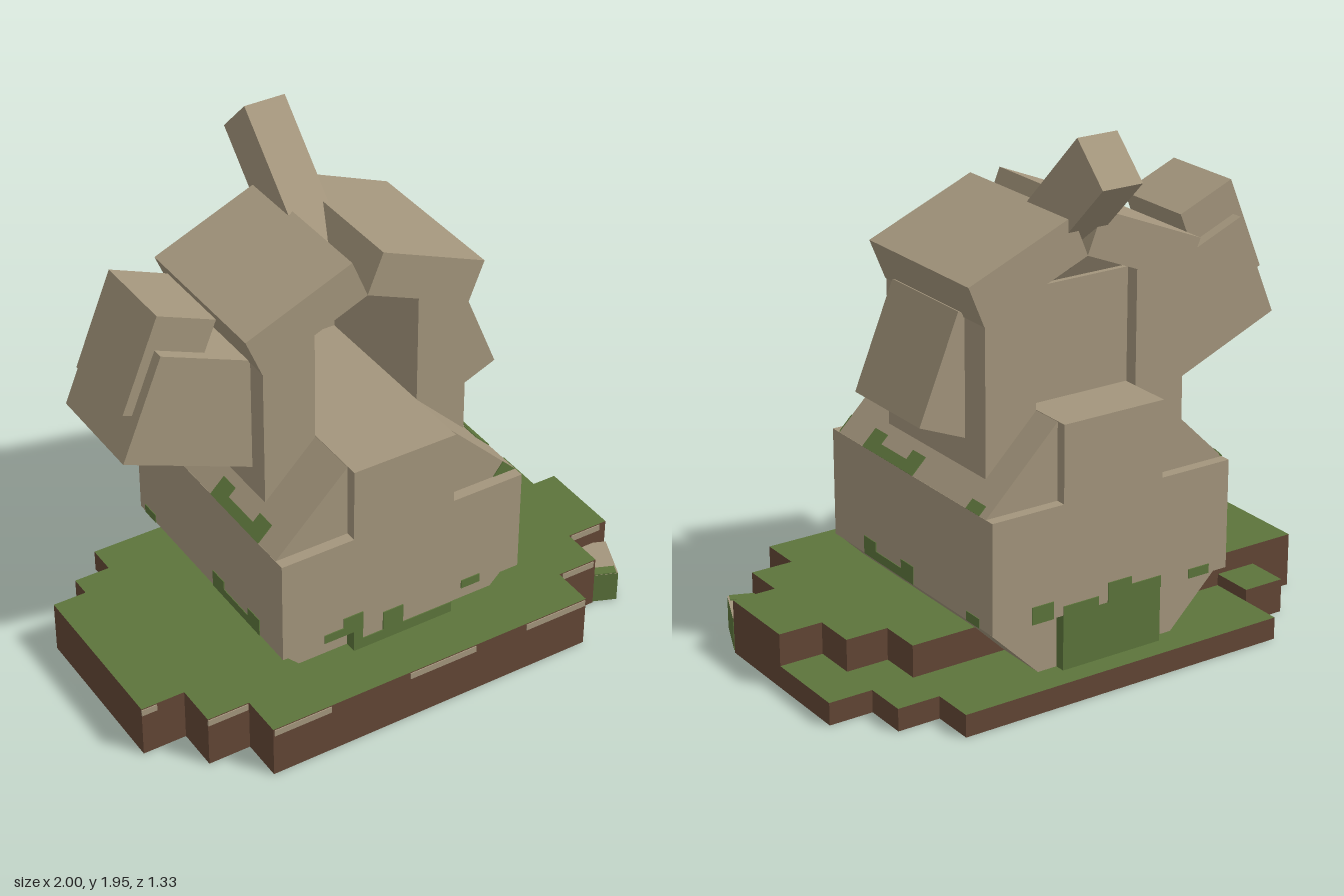
import * as THREE from 'three';

const mat = (name, color, side = THREE.FrontSide) => {
  const m = new THREE.MeshStandardMaterial({ color, side });
  m.name = name;
  return m;
};

export function createModel() {
  const stone = mat('stone', 0xa3957c);
  const moss = mat('moss', 0x5c743b, THREE.DoubleSide);
  const earth = mat('earth', 0x624635, THREE.DoubleSide);
  const root = new THREE.Group();
  root.name = 'stoneShrine';
  const TILT = Math.PI / 8;

  const add = (name, geo, material, parent = root) => {
    const m = new THREE.Mesh(geo, material);
    m.name = name;
    parent.add(m);
    return m;
  };
  // Box given by its limits on each axis
  const box = (name, x0, x1, y0, y1, z0, z1, material = stone) => {
    const m = add(name, new THREE.BoxGeometry(x1 - x0, y1 - y0, z1 - z0), material);
    m.position.set((x0 + x1) / 2, (y0 + y1) / 2, (z0 + z1) / 2);
    return m;
  };
  // Box leaning in the front plane
  const tilted = (name, size, pos, angle) => {
    const m = add(name, new THREE.BoxGeometry(...size), stone);
    m.position.set(...pos);
    m.rotation.z = angle;
    return m;
  };
  // Front-plane outline pushed through a range of z
  const prism = (name, pts, z0, z1) => {
    const shape = new THREE.Shape(pts.map(p => new THREE.Vector2(...p)));
    const geo = new THREE.ExtrudeGeometry(shape, { depth: z1 - z0, bevelEnabled: false });
    return add(name, geo.translate(0, 0, z0), stone);
  };

  // Island: hollow terraces, each a grass cap with earth walls.
  // Points are [x, z, bottom of the wall that starts here]; no third value means no wall.
  const terrace = (name, top, pts) => {
    const g = new THREE.Group();
    g.name = name;
    root.add(g);
    const shape = new THREE.Shape(pts.map(([x, z]) => new THREE.Vector2(x, -z)));
    add('grass', new THREE.ShapeGeometry(shape).rotateX(-Math.PI / 2).translate(0, top, 0), moss, g);
    pts.forEach(([x, z, bottom], i) => {
      if (bottom === undefined) return;
      const [nx, nz] = pts[(i + 1) % pts.length];
      const wall = add('earthWall', new THREE.PlaneGeometry(Math.hypot(nx - x, nz - z), top - bottom), earth, g);
      wall.position.set((x + nx) / 2, (top + bottom) / 2, (z + nz) / 2);
      wall.rotation.y = Math.atan2(-(nz - z), nx - x);
    });
  };
  const a = 1, b = 0.83, c = 0.665, d = 0.5, e = 0.333, f = 0.167, L = 0.085;
  terrace('upperTerrace', 0.207, [
    [-a, e, 0], [-b, e, 0], [-b, d, 0], [-c, d, 0], [-c, c, 0], [c, c, 0], [c, d, 0], [b, d, 0],
    [b, e, 0], [a, e, 0], [a, 0, L], [b, 0, L], [b, -f, L], [c, -f, L], [c, -e, L],
    [-c, -e, 0.13], [-b, -e, 0], [-a, -e, 0]]);
  terrace('middleStep', 0.13, [[-b, -e], [-c, -e, L], [-c, -d, 0], [-b, -d, 0]]);
  terrace('lowerTerrace', L, [
    [a, 0, 0], [a, -e, 0], [b, -e, 0], [b, -d, 0], [c, -d, 0], [c, -c, 0], [-c, -c, 0],
    [-c, -d], [-c, -e], [c, -e], [c, -f], [b, -f], [b, 0]]);

  // Pale stones showing under the turf along the front
  [[-1, -0.94, e], [-0.83, -0.67, d], [-0.66, -0.43, c], [-0.1, 0.18, c], [0.4, 0.66, c],
    [0.68, 0.82, d], [0.84, 0.97, e]].forEach(([x0, x1, z]) =>
    box('turfStone', x0, x1, 0.178, 0.203, z - 0.003, z + 0.004));

  // Main body: bevelled core, wide middle band and narrow end ribs
  prism('bodyCore', [[-0.205, 0.005], [0.205, 0.005], [0.499, 0.295], [0.499, 0.71], [0.207, 0.999],
    [-0.207, 0.999], [-0.499, 0.71], [-0.499, 0.295]], -0.54, 0.415);
  box('bodyBand', -0.5, 0.5, 0.295, 0.71, -0.58, 0.458);
  box('bodyRidge', -0.208, 0.208, 0.71, 1.0, -0.58, 0.458);
  box('bodyFoot', -0.208, 0.208, 0, 0.295, -0.58, 0.458, [moss, moss, stone, moss, stone, moss]);

  // Moss on the front and back of the body
  const mossRects = [[-0.33, -0.25, 0.295, 0.33], [-0.25, -0.17, 0.295, 0.372], [-0.208, -0.17, 0.2, 0.3],
    [-0.17, 0.208, 0.2, 0.25], [-0.085, 0, 0.25, 0.33], [0.25, 0.33, 0.295, 0.33]];
  mossRects.forEach(r => box('frontMoss', ...r, 0.456, 0.462, moss));
  [[-0.42, -0.33, 0.295, 0.33], [-0.208, -0.08, 0.295, 0.34], [-0.08, 0.02, 0.295, 0.37],
    [0.06, 0.208, 0.295, 0.33], [0.25, 0.34, 0.295, 0.36]].forEach(r =>
    box('backMoss', ...r, -0.584, -0.578, moss));

  // Moss along the foot of the sides and of the shoulder slopes: [z0, z1, height]
  for (const s of [1, -1]) {
    const shift = s > 0 ? 0 : 0.05;
    [[0.17, 0.25, 0.07], [0, 0.17, 0.035], [-0.08, 0, 0.07], [-0.5, -0.42, 0.035]].forEach(([z0, z1, h]) => {
      const za = z0 + shift * (z0 < -0.3 ? -0.8 : 1), zb = z1 + shift * (z0 < -0.3 ? -0.8 : 1);
      box('sideMoss', s * 0.5 - 0.003, s * 0.5 + 0.003, 0.295, 0.295 + h, za, zb, moss);
      const w = h * 1.15;
      const p = box('slopeMoss', 0, w, 0, 0.006, za, zb, moss);
      p.position.x = s * (0.5 - w * 0.355);
      p.position.y = 0.71 + w * 0.35;
      p.rotation.z = -s * 0.781;
    });
  }
  prism('cornerMoss', [[0.405, 0.712], [0.497, 0.712], [0.445, 0.764]], 0.413, 0.419).material = moss;

  // Upper house: two walls, a split roof and a recessed rear panel
  for (const s of [1, -1]) {
    prism('houseWall', [[0.21, 0.78], [0.415, 0.78], [0.415, 1.345], [0.21, 1.43]].map(([x, y]) => [s * x, y]),
      -0.413, 0.207);
    tilted('roofSlab', [0.453, 0.163, 0.624], [s * 0.24, 1.5, -0.103], -s * TILT);
  }
  box('rearPanel', -0.21, 0.21, 0.98, 1.42, -0.36, -0.34);

  // Leaning chimney block
  const chimney = add('chimney', new THREE.BoxGeometry(0.163, 0.58, 0.207), stone);
  chimney.position.set(0, 1.667, -0.33);
  chimney.rotation.x = -Math.PI / 4;

  // Blocks jutting from the walls
  tilted('shortSideBlock', [0.22, 0.415, 0.417], [0.417, 1.128, -0.08], TILT);
  tilted('longSideBlock', [0.57, 0.415, 0.417], [-0.57, 1.184, -0.085], -TILT);
  tilted('longSideCap', [0.24, 0.376, 0.333], [-0.701, 1.396, -0.085], -TILT);

  // Loose mossy rock by the front corner
  const rock = box('looseRock', 0.77, 0.963, 0, 0.125, 0.308, 0.501, [moss, moss, stone, moss, moss, moss]);
  rock.rotation.y = -TILT;
  const patch = add('rockMoss', new THREE.BoxGeometry(0.11, 0.005, 0.04), moss, rock);
  patch.position.set(0.035, 0.0635, 0.075);
  const chip = add('rockChip', new THREE.BoxGeometry(0.05, 0.07, 0.005), stone, rock);
  chip.position.set(-0.07, 0.027, 0.0965);
  return root;
}
